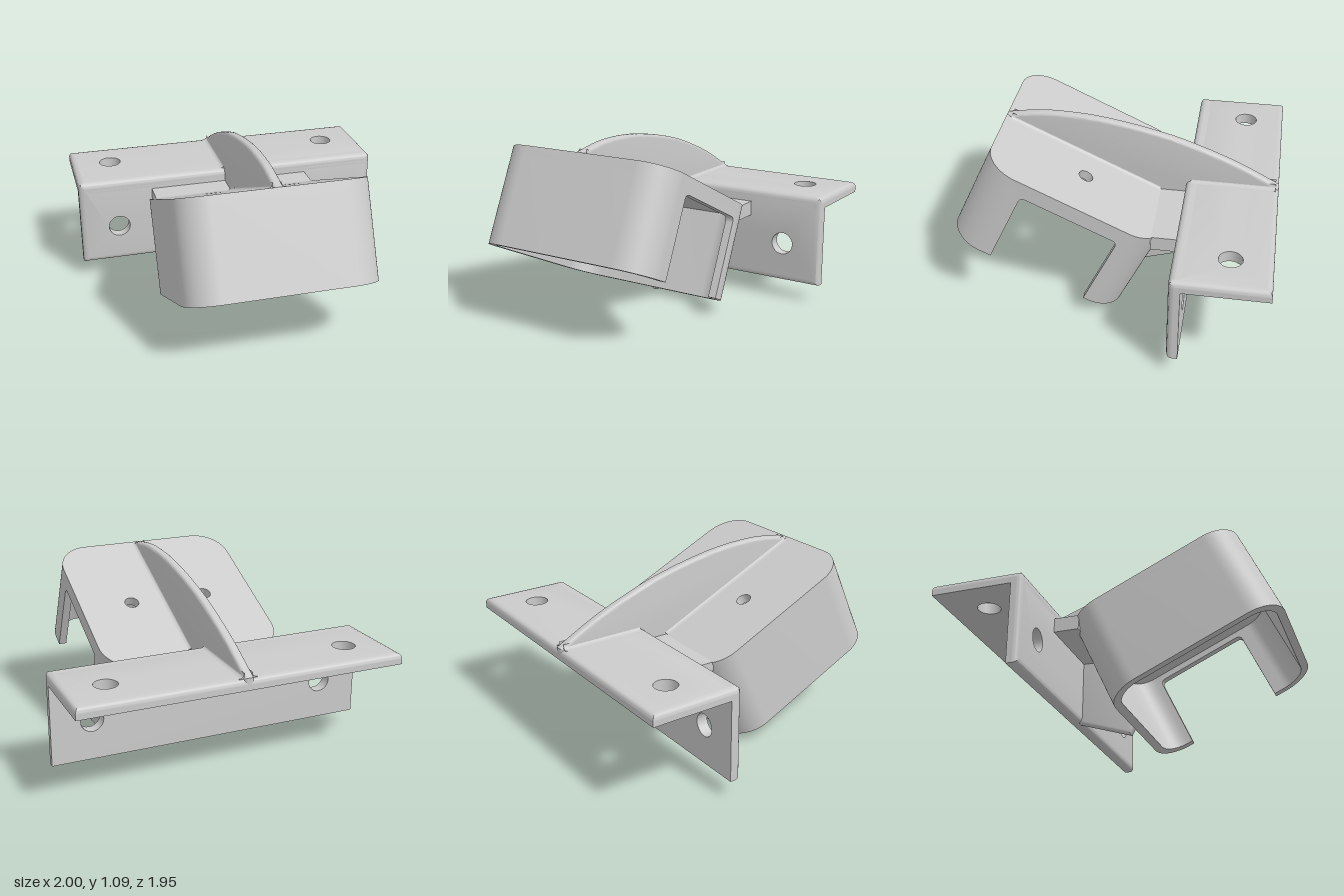
import * as THREE from 'three';
import { toCreasedNormals } from 'three/addons/utils/BufferGeometryUtils.js';

const HALF = Math.PI / 2;
const W = 0.585, L = 1.13, H = 0.604, WALL = 0.05, R = 0.2; // cup sizes
const material = new THREE.MeshStandardMaterial({ color: 0xcccccc, side: THREE.DoubleSide });

function part(name, geometry, parent) {
  const mesh = new THREE.Mesh(toCreasedNormals(geometry, 0.6), material);
  mesh.name = name;
  parent.add(mesh);
  return mesh;
}

const extrude = (shape, depth, options = {}) =>
  new THREE.ExtrudeGeometry(shape, { depth, bevelEnabled: false, curveSegments: 12, ...options });

// Extrudes a (z, y) profile across x, centred on x = 0
const across = (shape, width, options) =>
  extrude(shape, width, options).translate(0, 0, -width / 2).rotateY(-HALF);

function circleHole(shape, x, y, r) {
  shape.holes.push(new THREE.Path().absarc(x, y, r, 0, Math.PI * 2, true));
}

// One leg of the angle bracket: bolt holes, outer face with rounded edges
function legGeometry() {
  const size = 0.57, t = 0.07, r = 0.035, c = 0.04;
  const s = new THREE.Shape();
  s.moveTo(-1, 0);
  s.lineTo(1, 0);
  s.absarc(1 - c, size - c, c, 0, HALF);
  s.absarc(c - 1, size - c, c, HALF, Math.PI);
  s.closePath();
  for (const x of [-0.75, 0.75]) circleHole(s, x, 0.245, 0.07);
  const g = extrude(s, t, { steps: 10 });
  const p = g.attributes.position;
  for (let i = 0; i < p.count; i++) {
    const k = Math.max(0, p.getZ(i) - (t - r));
    const inset = r - Math.sqrt(Math.max(0, r * r - k * k));
    p.setX(i, THREE.MathUtils.clamp(p.getX(i), inset - 1, 1 - inset));
    p.setY(i, THREE.MathUtils.clamp(p.getY(i), inset, size - inset));
  }
  return g;
}

// Concave strip along the foot of the rib, on both sides
function ribFillets(parent, y, zStart, length) {
  const f = 0.03;
  const s = new THREE.Shape();
  s.moveTo(0, -0.01);
  s.lineTo(f, -0.01);
  s.lineTo(f, 0);
  s.quadraticCurveTo(0, 0, 0, f);
  s.closePath();
  for (const side of [-1, 1]) {
    const m = part('ribFillet', extrude(s, length), parent);
    m.position.set(side * 0.026, y, zStart);
    m.scale.x = side;
  }
}

function createCup() {
  const cup = new THREE.Group();
  cup.name = 'cup';

  // Roof with two small holes
  const roof = new THREE.Shape();
  roof.absarc(W - R, -R, R, 0, HALF);
  roof.absarc(R - W, -R, R, HALF, Math.PI);
  roof.absarc(R - W, R - L, R, Math.PI, 3 * HALF);
  roof.absarc(W - R, R - L, R, 3 * HALF, 4 * HALF);
  roof.closePath();
  for (const x of [-0.25, 0.25]) circleHole(roof, x, -0.585, 0.045);
  part('cupRoof', extrude(roof, 0.06).rotateX(HALF), cup);

  // Wall running round three sides and all four corners
  const wall = new THREE.Shape(), q = R - WALL;
  wall.absarc(W - R, -R, R, 0, HALF);
  wall.absarc(R - W, -R, R, HALF, Math.PI);
  wall.absarc(R - W, R - L, R, Math.PI, 3 * HALF);
  wall.absarc(W - R, R - L, R, 3 * HALF, 4 * HALF);
  wall.absarc(W - R, R - L, q, 4 * HALF, 3 * HALF, true);
  wall.absarc(R - W, R - L, q, 3 * HALF, Math.PI, true);
  wall.absarc(R - W, -R, q, Math.PI, HALF, true);
  wall.absarc(W - R, -R, q, HALF, 0, true);
  wall.closePath();
  part('cupWall', extrude(wall, H).rotateX(HALF), cup);

  // Left wall with a window open at the bottom
  const a = -0.275, b = -0.9, top = -0.1, r = 0.035;
  const panel = new THREE.Shape();
  panel.moveTo(-R, 0);
  panel.lineTo(R - L, 0);
  panel.lineTo(R - L, -H);
  panel.lineTo(b, -H);
  panel.lineTo(b, top - r);
  panel.quadraticCurveTo(b, top, b + r, top);
  panel.lineTo(a - r, top);
  panel.quadraticCurveTo(a, top, a, top - r);
  panel.lineTo(a, -H);
  panel.lineTo(-R, -H);
  panel.closePath();
  part('windowWall', across(panel, WALL), cup).position.x = W - WALL / 2;

  ribFillets(cup, 0, -1.06, 1.03);
  cup.position.set(0, 1.05, 0.72);
  cup.rotation.x = -THREE.MathUtils.degToRad(25);
  return cup;
}

export function createModel() {
  const model = new THREE.Group();
  model.name = 'angledCupBracket';
  model.add(createCup());

  // Angle bracket
  part('verticalPlate', legGeometry().translate(0, 0.11, -0.47), model);
  part('horizontalPlate',
    legGeometry().rotateX(-HALF).rotateY(Math.PI).translate(0, 0.61, -0.97), model);
  ribFillets(model, 0.68, -0.95, 0.52);

  // Ledge joining the cup to the bracket
  const ledge = new THREE.Shape([[-0.24, 0.6], [-0.42, 0.6], [-0.42, 0.51], [-0.245, 0.51]]
    .map(([z, y]) => new THREE.Vector2(z, y)));
  part('joiningLedge', across(ledge, 1.05), model);

  // Central rib: arched above, gusset below
  const rib = new THREE.Shape();
  rib.moveTo(0.72, 1.05);
  rib.splineThru([[0.56, 1.077], [0.41, 1.086], [0.2, 1.076], [0, 1.046], [-0.2, 1.003],
    [-0.4, 0.945], [-0.7, 0.826], [-0.97, 0.685]].map(([z, y]) => new THREE.Vector2(z, y)));
  for (const [z, y] of [[-0.97, 0.64], [-0.44, 0.64], [-0.44, 0.115], [-0.083, 0],
    [-0.055, 0.05], [-0.27, 0.55], [0.69, 1.01]]) rib.lineTo(z, y);
  rib.closePath();
  part('centralRib', across(rib, 0.02, {
    bevelEnabled: true, bevelSize: 0.02, bevelOffset: -0.02, bevelThickness: 0.02,
    bevelSegments: 4, curveSegments: 4,
  }), model);

  return model;
}
